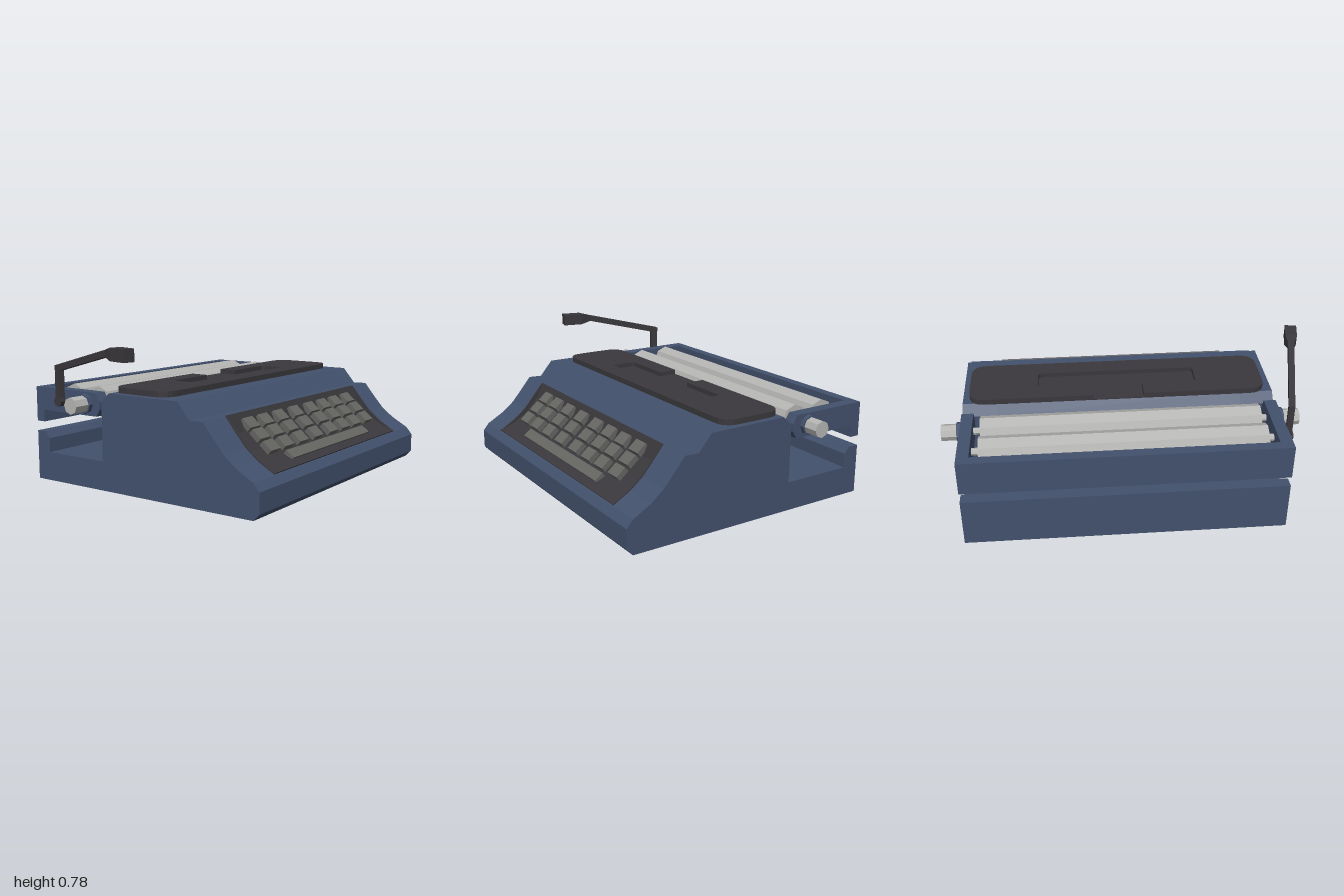
import * as THREE from 'three';

const paint = (color) => new THREE.MeshStandardMaterial({ color, flatShading: true });

export function createModel() {
  const blue = paint(0x43516d); blue.name = 'blue casing';
  const dark = paint(0x3a383c); dark.name = 'charcoal';
  const silver = paint(0xb4b4b2); silver.name = 'roller grey';
  const keyGrey = paint(0x656562); keyGrey.name = 'key grey';

  const model = new THREE.Group();
  model.name = 'typewriter';
  const add = (name, geometry, material, parent = model) => {
    const mesh = new THREE.Mesh(geometry, material);
    mesh.name = name;
    parent.add(mesh);
    return mesh;
  };

  // Side profile (x, y) swept across the width from z0 to z1
  const sweep = (points, z0, z1) => {
    const shape = new THREE.Shape(points.map(([x, y]) => new THREE.Vector2(x, y)));
    return new THREE.ExtrudeGeometry(shape, { depth: z1 - z0, bevelEnabled: false }).translate(0, 0, z0);
  };

  // Flat plate from an (x, z, cornerRadius) outline
  const plate = (outline, y0, y1) => {
    const shape = new THREE.Shape();
    const n = outline.length;
    outline.forEach(([x, z, r], i) => {
      const toward = ([px, pz]) => {
        const d = Math.hypot(px - x, pz - z);
        return [x + (px - x) * r / d, -(z + (pz - z) * r / d)];
      };
      const a = toward(outline[(i + n - 1) % n]);
      const b = toward(outline[(i + 1) % n]);
      if (i === 0) shape.moveTo(...a); else shape.lineTo(...a);
      if (r > 0) shape.quadraticCurveTo(x, -z, ...b);
    });
    shape.closePath();
    return new THREE.ExtrudeGeometry(shape, { depth: y1 - y0, bevelEnabled: false, curveSegments: 5 })
      .rotateX(-Math.PI / 2).translate(0, y0, 0);
  };

  // Faceted rod along z
  const rod = (x, y, r, z0, z1, sides = 8) =>
    new THREE.CylinderGeometry(r, r, z1 - z0, sides).rotateX(Math.PI / 2).translate(x, y, (z0 + z1) / 2);

  // Casing: two end sections and a middle with a sunken keyboard well
  const LEFT = 0.816, RIGHT = -0.896, WELL_L = 0.632, WELL_R = -0.711;
  const back = [[-0.733, 0.27], [-0.733, 0], [0.70, 0], [0.733, 0.035], [0.733, 0.14], [0.70, 0.18]];
  const rear = [[0.33, 0.432], [0.255, 0.52], [-0.196, 0.52], [-0.247, 0.47], [-0.247, 0.157],
    [-0.643, 0.157], [-0.643, 0.235], [-0.67, 0.27]];
  const slope = [[0.60, 0.237], [0.53, 0.293], [0.47, 0.362], [0.41, 0.435]];
  const well = [[0.693, 0.182], [0.61, 0.213], [0.53, 0.262], [0.45, 0.345], [0.408, 0.434]];
  add('casingLeft', sweep([...back, ...slope, ...rear], WELL_L, LEFT), blue);
  add('casingMiddle', sweep([...back, ...well, ...rear], WELL_R, WELL_L), blue);
  add('casingRight', sweep([...back, ...slope, ...rear], RIGHT, WELL_R), blue);

  // Keyboard bed and the dark cheeks at both ends of the well
  const bed = [...well, ...well.slice().reverse().map(([x, y]) => [x + 0.004, y + 0.006])];
  add('keyboardBed', sweep(bed, WELL_R, WELL_L), dark);
  const cheek = [...well.slice().reverse(), [0.70, 0.184],
    ...slope.map(([x, y]) => [x + 0.004, y + 0.004])];
  add('wellCheekLeft', sweep(cheek, WELL_L - 0.008, WELL_L), dark);
  add('wellCheekRight', sweep(cheek, WELL_R, WELL_R + 0.008), dark);

  // Keys: three rows of eight on short stems, plus the space bar
  const keys = new THREE.Group();
  keys.name = 'keys';
  model.add(keys);
  const columns = [0.48, 0.345, 0.199, 0.041, -0.123, -0.268, -0.407, -0.553];
  const rows = [[0.453, 0.381], [0.513, 0.331], [0.575, 0.279]];
  for (const [x, y] of rows) {
    for (const z of columns) {
      const key = new THREE.Group();
      key.name = 'key';
      key.position.set(x, y, z);
      key.rotation.z = -0.71;
      add('keyCap', new THREE.BoxGeometry(0.066, 0.03, 0.088), keyGrey, key);
      add('keyStem', new THREE.BoxGeometry(0.02, 0.05, 0.03).translate(0, -0.035, 0), dark, key);
      keys.add(key);
    }
  }
  const bar = add('spaceBar', new THREE.BoxGeometry(0.056, 0.03, 0.845), keyGrey, keys);
  bar.position.set(0.624, 0.22, -0.037);
  bar.rotation.z = -0.62;

  // Top cover with a T-shaped recess open to the rear
  const x0 = -0.21, x1 = 0.153, z0 = -0.862, z1 = 0.774;
  add('coverBase', plate([[x0, z0, 0.09], [x0, z1, 0.09], [x1, z1, 0.09], [x1, z0, 0.09]], 0.519, 0.525), dark);
  add('topCover', plate([
    [x0, z0, 0.09], [x0, -0.18, 0], [-0.103, -0.18, 0], [-0.103, -0.482, 0.025], [0.042, -0.482, 0.025],
    [0.042, 0.398, 0.025], [-0.103, 0.398, 0.025], [-0.103, 0.096, 0], [x0, 0.096, 0],
    [x0, z1, 0.09], [x1, z1, 0.09], [x1, z0, 0.09],
  ], 0.525, 0.55), dark);

  // Carriage: end plates joined by a rear wall
  const end = [[-0.733, 0.39], [-0.286, 0.39], [-0.26, 0.43], [-0.26, 0.47], [-0.286, 0.515], [-0.733, 0.515]];
  add('carriageEndLeft', sweep(end, 0.75, LEFT), blue);
  add('carriageEndRight', sweep(end, RIGHT, -0.832), blue);
  add('carriageRearWall', sweep([[-0.733, 0.325], [-0.678, 0.325], [-0.678, 0.515], [-0.733, 0.515]], RIGHT, LEFT), blue);

  // Rollers with their axles
  for (const x of [-0.547, -0.362]) {
    add('roller', rod(x, 0.453, 0.08, -0.792, 0.712), silver);
    add('rollerAxle', rod(x, 0.453, 0.02, -0.84, 0.76), silver);
  }

  // Platen knobs on both ends
  add('collarLeft', rod(-0.362, 0.453, 0.054, LEFT, 0.838), blue);
  add('knobLeft', rod(-0.362, 0.453, 0.045, 0.838, 0.926), silver);
  add('collarRight', rod(-0.362, 0.453, 0.054, -0.918, RIGHT), blue);
  add('knobRight', rod(-0.362, 0.453, 0.045, -1.0, -0.918), silver);

  // Carriage return lever: rectangular sections [xa, ya, xb, yb, thickness]
  const sections = [
    [-0.553, 0.455, -0.513, 0.455, 0.032],
    [-0.553, 0.645, -0.513, 0.62, 0.032],
    [-0.09, 0.76, -0.09, 0.725, 0.034],
    [-0.027, 0.776, -0.027, 0.71, 0.064],
    [0.083, 0.776, 0.083, 0.71, 0.064],
  ];
  const pos = [], index = [];
  for (const [xa, ya, xb, yb, t] of sections) {
    for (const [x, y, s] of [[xa, ya, -1], [xa, ya, 1], [xb, yb, 1], [xb, yb, -1]]) {
      pos.push(x - s * t * 0.105, y, 0.832 + 0.214 * (x + 0.533) + s * t * 0.489);
    }
  }
  for (let s = 0; s < sections.length - 1; s++) {
    for (let i = 0; i < 4; i++) {
      const a = s * 4 + i, b = s * 4 + (i + 1) % 4;
      index.push(a, b, b + 4, a, b + 4, a + 4);
    }
  }
  const e = (sections.length - 1) * 4;
  index.push(0, 2, 1, 0, 3, 2, e, e + 1, e + 2, e, e + 2, e + 3);
  const lever = new THREE.BufferGeometry();
  lever.setAttribute('position', new THREE.Float32BufferAttribute(pos, 3));
  lever.setIndex(index);
  lever.computeVertexNormals();
  add('returnLever', lever, dark);
  add('leverPivot', rod(-0.533, 0.453, 0.028, 0.81, 0.852), dark);

  return model;
}
